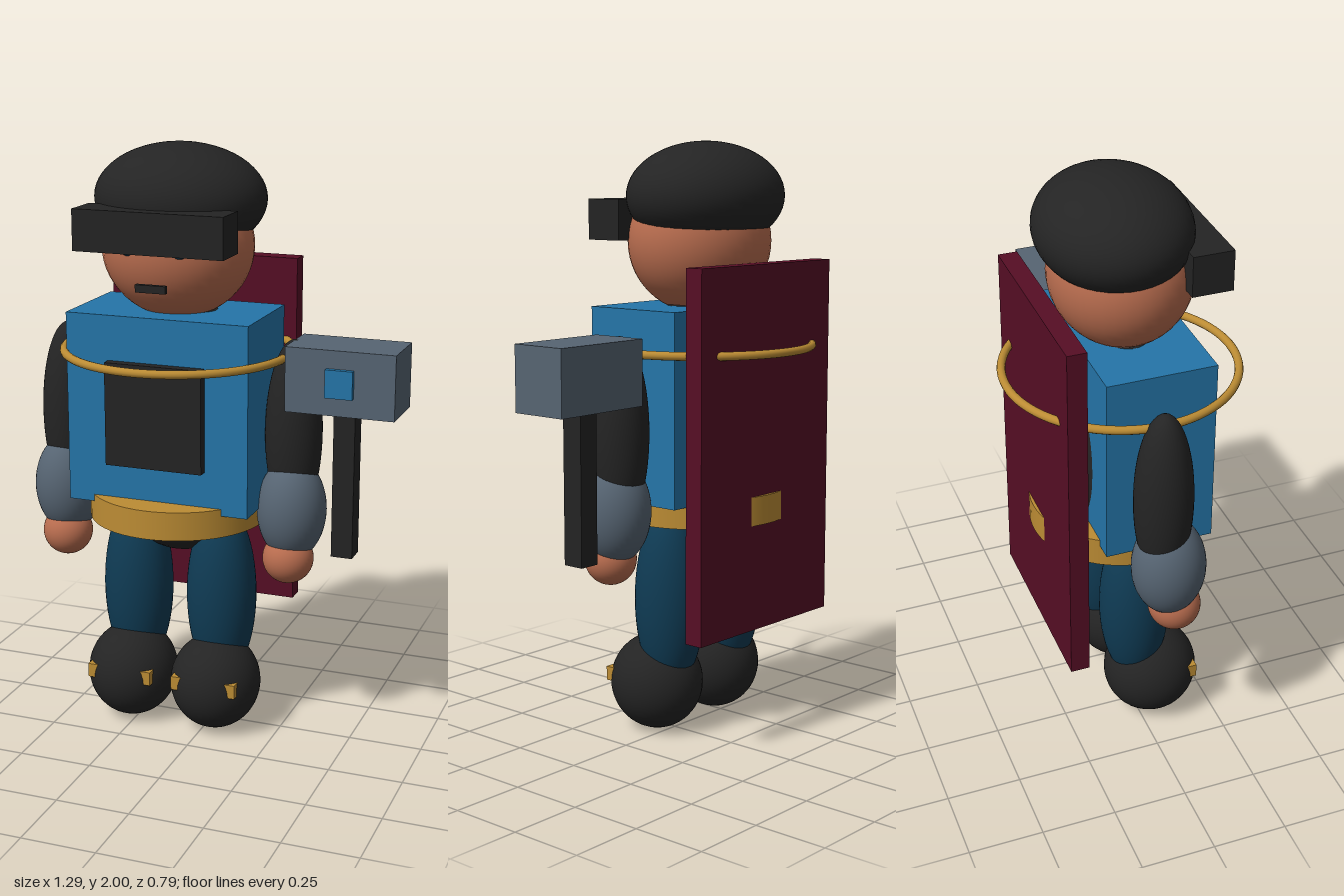
import * as THREE from 'three';

const paint = (name, color) => {
  const m = new THREE.MeshStandardMaterial({ color });
  m.name = name;
  return m;
};

export function createModel() {
  const black = paint('charcoal', 0x242424);
  const skin = paint('skin', 0xb96d4f);
  const blue = paint('blue', 0x2575a8);
  const maroon = paint('maroon', 0x560e25);
  const gold = paint('gold', 0xbc8c34);
  const slate = paint('slate', 0x566472);
  const navy = paint('navy', 0x0f3b54);

  const model = new THREE.Group();
  model.name = 'figure';
  const CX = -0.124; // the body's mirror plane

  const add = (name, geometry, material, x, y, z) => {
    const mesh = new THREE.Mesh(geometry, material);
    mesh.name = name;
    mesh.position.set(x, y, z);
    model.add(mesh);
    return mesh;
  };
  const ball = (name, mat, x, y, z, rx, ry, rz) =>
    add(name, new THREE.SphereGeometry(1, 40, 28).scale(rx, ry, rz), mat, x, y, z);
  // box given by its limits on each axis
  const box = (name, mat, x0, x1, y0, y1, z0, z1) =>
    add(name, new THREE.BoxGeometry(x1 - x0, y1 - y0, z1 - z0), mat,
      (x0 + x1) / 2, (y0 + y1) / 2, (z0 + z1) / 2);

  // torso
  ball('body', black, CX, 1.06, -0.005, 0.31, 0.445, 0.2);
  box('vest', blue, -0.44, 0.192, 0.82, 1.46, -0.165, 0.197);
  box('chestPlate', black, -0.292, 0.044, 0.963, 1.31, 0.19, 0.23);
  add('belt', new THREE.CylinderGeometry(0.303, 0.303, 0.097, 64), gold, CX, 0.795, -0.004);
  const ring = add('chestRing', new THREE.TorusGeometry(0.38, 0.014, 12, 80), gold, CX, 1.324, -0.003);
  ring.rotation.x = Math.PI / 2;
  box('cape', maroon, -0.46, 0.214, 0.39, 1.605, -0.296, -0.232);

  // head
  ball('head', skin, CX, 1.67, -0.004, 0.255, 0.24, 0.23);
  ball('cap', black, CX, 1.82, -0.03, 0.289, 0.18, 0.246);
  box('visor', black, -0.379, 0.132, 1.675, 1.81, 0.13, 0.265);
  box('mouth', black, -0.175, -0.072, 1.551, 1.576, 0.222, 0.24);

  // paired parts
  for (const s of [-1, 1]) {
    const side = s > 0 ? 'left' : 'right';
    ball(side + 'Eye', navy, CX + s * 0.087, 1.688, 0.2, 0.03, 0.03, 0.03);

    const armX = CX + s * 0.405;
    ball(side + 'UpperArm', black, armX, 1.07, -0.01, 0.095, 0.312, 0.095);
    ball(side + 'Forearm', slate, armX - s * -0.003, 0.81, 0.011, 0.116, 0.175, 0.121);
    ball(side + 'Hand', skin, armX, 0.645, 0.035, 0.086, 0.086, 0.086);

    const legX = CX + s * 0.154;
    ball(side + 'Leg', navy, legX, 0.47, -0.005, 0.12, 0.32, 0.12);
    ball(side + 'Boot', black, legX, 0.168, 0.055, 0.155, 0.165, 0.161);
    box(side + 'BootBuckle', gold, legX - 0.115, legX + 0.115, 0.168, 0.216, 0.14, 0.185);
  }

  // hammer
  box('hammerHandle', black, 0.428, 0.5, 0.665, 1.17, -0.045, 0.03);
  box('hammerHead', slate, 0.28, 0.645, 1.165, 1.38, -0.108, 0.092);
  box('hammerGem', blue, 0.418, 0.51, 1.227, 1.32, 0.085, 0.11);

  return model;
}
